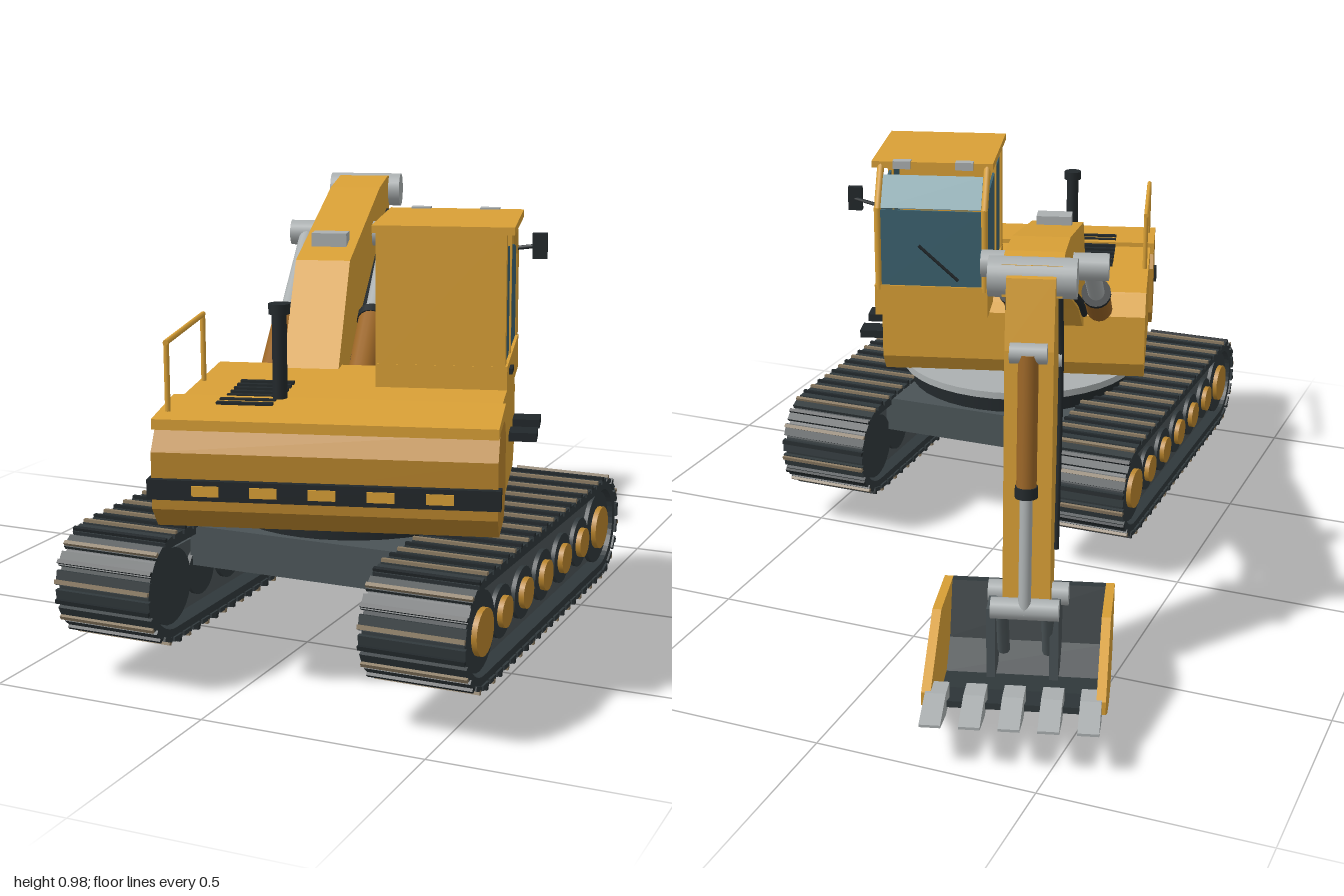
import * as THREE from 'three';

const mat = (color, extra = {}) => new THREE.MeshStandardMaterial({ color, ...extra });
const yellow = mat(0xd9a036), gold = mat(0xb8842c), bronze = mat(0x9a6526), dark = mat(0x22282b);
const rubber = mat(0x30383b), steel = mat(0x4a5356), silver = mat(0xabb0b1), tan = mat(0x8a7a62);
const glass = mat(0x3c6270, { side: THREE.DoubleSide }), paleGlass = mat(0x7fa3ab, { side: THREE.DoubleSide });

function add(parent, name, material, geometry) {
  const m = new THREE.Mesh(geometry, material);
  m.name = name;
  parent.add(m);
  return m;
}
const box = (p, name, m, w, h, d, x, y, z) =>
  add(p, name, m, new THREE.BoxGeometry(w, h, d).translate(x, y, z));

// cylinder between two points
function rod(p, name, m, a, b, r, seg = 16) {
  const A = new THREE.Vector3(...a), B = new THREE.Vector3(...b), dir = B.clone().sub(A);
  const mesh = add(p, name, m, new THREE.CylinderGeometry(r, r, dir.length(), seg));
  mesh.position.copy(A).add(B).multiplyScalar(0.5);
  mesh.quaternion.setFromUnitVectors(new THREE.Vector3(0, 1, 0), dir.normalize());
  return mesh;
}

// side profile of [z, y] points, extruded to a width centred on x
function sideExtrude(shape, width, x) {
  return new THREE.ExtrudeGeometry(shape, { depth: width, bevelEnabled: false, curveSegments: 10 })
    .rotateY(-Math.PI / 2).translate(x + width / 2, 0, 0);
}
const shapeOf = (pts) => new THREE.Shape(pts.map(([z, y]) => new THREE.Vector2(z, y)));
const plate = (p, name, m, pts, width, x) => add(p, name, m, sideExtrude(shapeOf(pts), width, x));

const hose = (p, name, pts, r) => add(p, name, dark, new THREE.TubeGeometry(
  new THREE.CatmullRomCurve3(pts.map((q) => new THREE.Vector3(...q))), 24, r, 8));

function stadium(r, z0, z1, y, Type = THREE.Shape) {
  const s = new Type();
  s.absarc(z1, y, r, -Math.PI / 2, Math.PI / 2, false);
  s.absarc(z0, y, r, Math.PI / 2, Math.PI * 1.5, false);
  s.closePath();
  return s;
}

function makeTrack(x, side) {
  const g = new THREE.Group();
  g.name = 'track';
  const z0 = 0.045, z1 = 0.835, y = 0.22, width = 0.23;
  const belt = stadium(0.112, z0, z1, y);
  belt.holes.push(stadium(0.092, z0, z1, y, THREE.Path));
  add(g, 'trackBelt', rubber, sideExtrude(belt, width - 0.01, x));
  add(g, 'trackFrame', steel, sideExtrude(stadium(0.076, z0, z1, y), 0.18, x));
  // shoes with raised grousers, stepped around the belt
  const L = z1 - z0, R = 0.114, arc = Math.PI * R, total = 2 * (L + arc), count = 56;
  for (let i = 0; i < count; i++) {
    let s = (i / count) * total, z, yy, a;
    if (s < L) { z = z0 + s; yy = y + R; a = 0; }
    else if (s < L + arc) { a = (s - L) / R; z = z1 + R * Math.sin(a); yy = y + R * Math.cos(a); }
    else if (s < 2 * L + arc) { z = z1 - (s - L - arc); yy = y - R; a = Math.PI; }
    else { a = Math.PI + (s - 2 * L - arc) / R; z = z0 + R * Math.sin(a); yy = y + R * Math.cos(a); }
    const shoe = new THREE.Group();
    shoe.name = 'trackShoe';
    shoe.position.set(x, yy, z);
    shoe.rotation.x = a;
    box(shoe, 'shoePlate', rubber, width, 0.01, 0.032, 0, 0, 0);
    box(shoe, 'grouser', i % 2 ? tan : dark, width, 0.01, 0.009, 0, 0.007, 0.009);
    g.add(shoe);
  }
  // end wheels and rollers
  const wheel = (z, rimR, hubR) => {
    rod(g, 'wheelRim', rubber, [x - 0.1, y, z], [x + 0.1, y, z], rimR, 24);
    rod(g, 'wheelHub', gold, [x, y, z], [x + side * 0.112, y, z], hubR, 20);
  };
  [z0, z1].forEach((z) => wheel(z, 0.085, 0.05));
  for (let i = 0; i < 5; i++) wheel(0.178 + i * 0.131, 0.057, 0.034);
  return g;
}

function makeCab() {
  const g = new THREE.Group();
  g.name = 'cab';
  box(g, 'cabBase', yellow, 0.29, 0.08, 0.39, 0.2, 0.632, -0.112);
  box(g, 'cabBackWall', yellow, 0.285, 0.31, 0.035, 0.198, 0.815, 0.065);
  box(g, 'cabRoof', yellow, 0.31, 0.017, 0.33, 0.203, 0.97, -0.073);
  for (const x of [0.063, 0.335]) {
    rod(g, 'frontPillar', yellow, [x, 0.66, -0.3], [x, 0.875, -0.3], 0.009, 8);
    rod(g, 'upperPillar', yellow, [x, 0.87, -0.3], [x, 0.968, -0.23], 0.009, 8);
    box(g, 'doorPillar', yellow, 0.014, 0.3, 0.014, x, 0.815, -0.075);
    plate(g, 'sideWindow', glass, [[0.05, 0.67], [0.05, 0.93], [-0.22, 0.9], [-0.295, 0.885], [-0.295, 0.67]], 0.006, x);
  }
  box(g, 'windscreen', glass, 0.265, 0.2, 0.006, 0.199, 0.77, -0.3);
  plate(g, 'upperWindscreen', paleGlass, [[-0.302, 0.875], [-0.25, 0.948], [-0.245, 0.944], [-0.296, 0.872]], 0.255, 0.199);
  rod(g, 'wiper', dark, [0.13, 0.69, -0.308], [0.23, 0.78, -0.308], 0.004, 6);
  for (const x of [0.12, 0.28]) box(g, 'roofLight', silver, 0.045, 0.02, 0.025, x, 0.972, -0.235);
  rod(g, 'mirrorArm', dark, [0.335, 0.88, -0.295], [0.395, 0.89, -0.275], 0.005, 6);
  box(g, 'mirror', dark, 0.035, 0.06, 0.018, 0.395, 0.89, -0.27);
  box(g, 'doorHandle', dark, 0.012, 0.012, 0.05, 0.347, 0.65, 0.0);
  return g;
}

function makeBoom(x) {
  const g = new THREE.Group();
  g.name = 'boomAssembly';
  plate(g, 'boom', yellow, [[-0.085, 0.5], [-0.085, 0.61], [-0.275, 0.845], [-0.8, 0.962], [-0.96, 0.977],
    [-1.04, 0.97], [-1.045, 0.9], [-0.95, 0.885], [-0.45, 0.675], [-0.25, 0.56]], 0.13, x);
  rod(g, 'boomTipPin', silver, [x - 0.095, 0.935, -1.013], [x + 0.095, 0.935, -1.013], 0.044, 24);
  rod(g, 'cylinderPin', silver, [x - 0.148, 0.857, -0.68], [x + 0.148, 0.857, -0.68], 0.032, 20);
  box(g, 'boomLight', silver, 0.085, 0.035, 0.05, x, 0.88, -0.39);
  for (const s of [-1, 1]) {
    const cx = x + s * 0.105;
    rod(g, 'liftBarrel', bronze, [cx, 0.55, -0.12], [cx, 0.69, -0.37], 0.034);
    rod(g, 'liftCollar', dark, [cx, 0.684, -0.36], [cx, 0.696, -0.382], 0.037);
    rod(g, 'liftRod', silver, [cx, 0.69, -0.37], [cx, 0.857, -0.68], 0.021);
    hose(g, 'boomHose', [[x + s * 0.07, 0.6, -0.27], [x + s * 0.073, 0.69, -0.46],
      [x + s * 0.073, 0.79, -0.7], [x + s * 0.07, 0.885, -0.93]], 0.009);
  }
  // arm with its cylinders
  plate(g, 'arm', yellow, [[-0.98, 0.955], [-0.935, 0.87], [-0.93, 0.77], [-1.02, 0.2], [-1.14, 0.2],
    [-1.105, 0.8], [-1.07, 0.95]], 0.105, x);
  rod(g, 'armBarrel', bronze, [x, 0.81, -0.58], [x, 0.764, -0.77], 0.028);
  rod(g, 'armCollar', dark, [x, 0.768, -0.755], [x, 0.762, -0.782], 0.031);
  rod(g, 'armRod', silver, [x, 0.764, -0.77], [x, 0.73, -0.945], 0.018);
  rod(g, 'armRodPin', silver, [x - 0.06, 0.73, -0.94], [x + 0.06, 0.73, -0.94], 0.027);
  rod(g, 'bucketCylinderPin', silver, [x - 0.04, 0.8, -1.115], [x + 0.04, 0.8, -1.115], 0.022);
  rod(g, 'bucketBarrel', bronze, [x, 0.8, -1.12], [x, 0.5, -1.15], 0.022);
  rod(g, 'bucketCollar', dark, [x, 0.51, -1.149], [x, 0.485, -1.151], 0.025);
  rod(g, 'bucketRod', silver, [x, 0.5, -1.15], [x, 0.22, -1.18], 0.014);
  rod(g, 'linkPin', silver, [x - 0.075, 0.225, -1.17], [x + 0.075, 0.225, -1.17], 0.024);
  rod(g, 'armFootPin', silver, [x - 0.09, 0.215, -1.07], [x + 0.09, 0.215, -1.07], 0.026);
  for (const s of [-1, 1]) {
    rod(g, 'bucketLink', steel, [x + s * 0.05, 0.225, -1.17], [x + s * 0.05, 0.1, -1.13], 0.014, 8);
    hose(g, 'armHose', [[x + s * 0.056, 0.9, -0.99], [x + s * 0.057, 0.72, -0.955], [x + s * 0.056, 0.3, -1.02]], 0.007);
  }
  return g;
}

function makeBucket(x) {
  const g = new THREE.Group();
  g.name = 'bucket';
  const outer = [[-0.98, 0.2], [-1.035, 0.07], [-1.11, 0.012], [-1.19, 0.015], [-1.37, 0.09]];
  const inner = [[-1.37, 0.105], [-1.19, 0.032], [-1.117, 0.03], [-1.05, 0.08], [-1.0, 0.2]];
  plate(g, 'bucketShell', rubber, [...outer, ...inner], 0.36, x);
  for (const s of [-1, 1])
    plate(g, 'bucketSide', yellow, [...outer.slice(0, 4), [-1.28, 0.04], [-1.375, 0.095], [-1.375, 0.125], [-1.19, 0.225]], 0.02, x + s * 0.185);
  for (let i = -2; i <= 2; i++) {
    const tx = x + i * 0.082;
    plate(g, 'wearStrip', yellow, [[-1.11, 0.013], [-1.11, 0.003], [-1.2, 0.006], [-1.365, 0.078], [-1.365, 0.09], [-1.19, 0.016]], 0.022, tx);
    plate(g, 'tooth', silver, [[-1.32, 0.085], [-1.38, 0.078], [-1.475, 0.103], [-1.475, 0.109], [-1.38, 0.128], [-1.32, 0.122]], 0.045, tx);
  }
  for (const s of [-1, 1]) box(g, 'bucketLug', steel, 0.02, 0.17, 0.12, x + s * 0.07, 0.13, -1.1);
  return g;
}

export function createModel() {
  const model = new THREE.Group();
  model.name = 'excavator';

  // undercarriage
  const cx = 0.095, cz = 0.43;
  model.add(makeTrack(cx - 0.355, -1), makeTrack(cx + 0.355, 1));
  box(model, 'crossFrame', steel, 0.52, 0.09, 0.62, cx, 0.285, cz);
  rod(model, 'turntable', dark, [cx, 0.32, cz], [cx, 0.375, cz], 0.295, 40);
  rod(model, 'turntableRing', silver, [cx, 0.374, cz], [cx, 0.392, cz], 0.318, 40);

  // slewed upper structure
  const upper = new THREE.Group();
  upper.name = 'upperStructure';
  upper.position.set(cx, 0, cz);
  upper.rotation.y = 0.28;
  model.add(upper);
  plate(upper, 'bodyHousing', yellow, [[-0.2, 0.44], [-0.2, 0.57], [-0.145, 0.62], [0.3, 0.62], [0.3, 0.39], [-0.155, 0.39]], 0.69, 0);
  plate(upper, 'counterweight', gold, [[0.25, 0.43], [0.25, 0.56], [0.29, 0.605], [0.42, 0.605], [0.465, 0.555],
    [0.465, 0.435], [0.42, 0.388], [0.29, 0.388]], 0.71, 0);
  plate(upper, 'rearDeck', yellow, [[0.263, 0.6], [0.263, 0.632], [0.455, 0.622], [0.455, 0.6]], 0.71, 0);
  box(upper, 'bumperStripe', dark, 0.724, 0.042, 0.03, 0, 0.48, 0.464);
  for (let i = -2; i <= 2; i++) box(upper, 'stripeMarker', yellow, 0.056, 0.022, 0.006, i * 0.12, 0.48, 0.479);
  for (let i = 0; i < 8; i++) box(upper, 'ventSlat', dark, 0.12, 0.01, 0.013, -0.187, i > 5 ? 0.629 : 0.622, 0.08 + i * 0.0355);
  rod(upper, 'exhaustPipe', dark, [-0.123, 0.61, 0.267], [-0.123, 0.82, 0.267], 0.016);
  rod(upper, 'exhaustCap', dark, [-0.123, 0.812, 0.267], [-0.123, 0.834, 0.267], 0.023);
  for (const z of [0.065, 0.393]) rod(upper, 'railPost', yellow, [-0.335, 0.61, z], [-0.335, 0.77, z], 0.006, 8);
  rod(upper, 'railTop', yellow, [-0.335, 0.77, 0.059], [-0.335, 0.77, 0.399], 0.006, 8);
  for (const z of [-0.03, -0.16]) box(upper, 'step', dark, 0.065, 0.02, 0.06, 0.375, 0.495, z);
  upper.add(makeCab(), makeBoom(-0.12), makeBucket(-0.114));
  return model;
}
